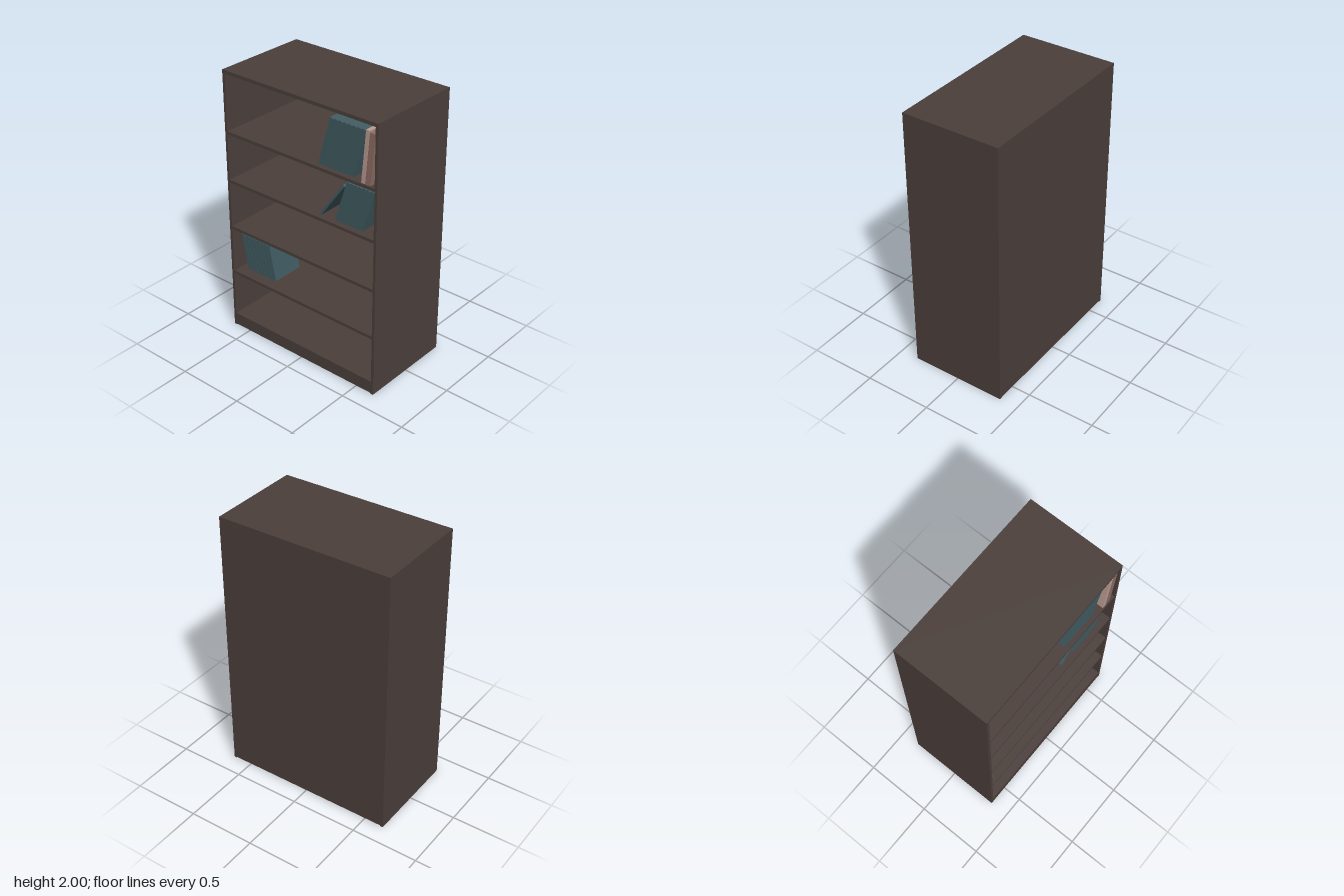
import * as THREE from 'three';

const W = 0.72, H = 2, D = 1.3, T = 0.02; // depth (x), height, width (z), board thickness
const mat = (color) => new THREE.MeshStandardMaterial({ color, flatShading: true });

function box(name, material, [x0, x1], [y0, y1], [z0, z1]) {
  const mesh = new THREE.Mesh(new THREE.BoxGeometry(x1 - x0, y1 - y0, z1 - z0), material);
  mesh.position.set((x0 + x1) / 2, (y0 + y1) / 2, (z0 + z1) / 2);
  mesh.name = name;
  return mesh;
}

// A row of equal books leaning along z; each pivots on the lower edge it leans toward
function bookRow({ name, material, x, floor, z, count, thick, height, depth, lean }) {
  const row = new THREE.Group();
  row.name = name;
  const pitch = thick / Math.cos(lean);
  for (let i = 0; i < count; i++) {
    const geo = new THREE.BoxGeometry(depth, height, thick - 0.002);
    geo.translate(depth / 2, height / 2, lean > 0 ? -thick / 2 : thick / 2);
    const book = new THREE.Mesh(geo, material);
    book.name = 'book';
    book.rotation.x = lean;
    book.position.set(x, floor, z + pitch * (i + (lean > 0 ? 1 : 0)));
    row.add(book);
  }
  return row;
}

export function createModel() {
  const model = new THREE.Group();
  model.name = 'bookcase';
  const wood = mat(0x4b3f3b), teal = mat(0x3f5a60), pink = mat(0xb89a90), tan = mat(0x8a6c62);
  const full = [-W / 2, W / 2], inner = [-D / 2 + T, D / 2 - T];

  // Carcass: two sides, top, back and plinth; the open face is toward -x
  for (const s of [-1, 1]) {
    const edge = s * D / 2, inside = s * (D / 2 - T);
    model.add(box('sidePanel', wood, full, [0, H], [Math.min(edge, inside), Math.max(edge, inside)]));
  }
  model.add(box('topPanel', wood, full, [H - 0.025, H], inner));
  model.add(box('backPanel', wood, [W / 2 - 0.012, W / 2], [0.006, H - 0.025], inner));
  model.add(box('plinth', wood, [-W / 2, W / 2 - 0.012], [0.006, 0.1], inner));

  // Shelves
  const shelfTops = [0.465, 0.83, 1.195, 1.56];
  for (const y of shelfTops) {
    model.add(box('shelf', wood, [-W / 2 + 0.002, W / 2 - 0.012], [y - 0.022, y], inner));
  }

  // Books
  const rows = [
    { name: 'topTealBooks', material: teal, x: -0.327, floor: 1.56, z: 0.143, count: 8, thick: 0.035, height: 0.36, depth: 0.25, lean: 0.28 },
    { name: 'pinkBook', material: pink, x: -0.35, floor: 1.56, z: 0.515, count: 1, thick: 0.03, height: 0.37, depth: 0.25, lean: 0.09 },
    { name: 'tanBooks', material: tan, x: -0.35, floor: 1.56, z: 0.546, count: 2, thick: 0.022, height: 0.36, depth: 0.25, lean: 0.09 },
    { name: 'slumpedBook', material: teal, x: -0.32, floor: 1.195, z: 0.145, count: 1, thick: 0.018, height: 0.33, depth: 0.25, lean: 0.62 },
    { name: 'middleTealBooks', material: teal, x: -0.32, floor: 1.195, z: 0.277, count: 7, thick: 0.031, height: 0.32, depth: 0.25, lean: 0.31 },
    { name: 'lowerTealBooks', material: teal, x: -0.28, floor: 0.465, z: -0.565, count: 8, thick: 0.033, height: 0.275, depth: 0.25, lean: -0.2 },
  ];
  rows.forEach((r) => model.add(bookRow(r)));
  return model;
}
